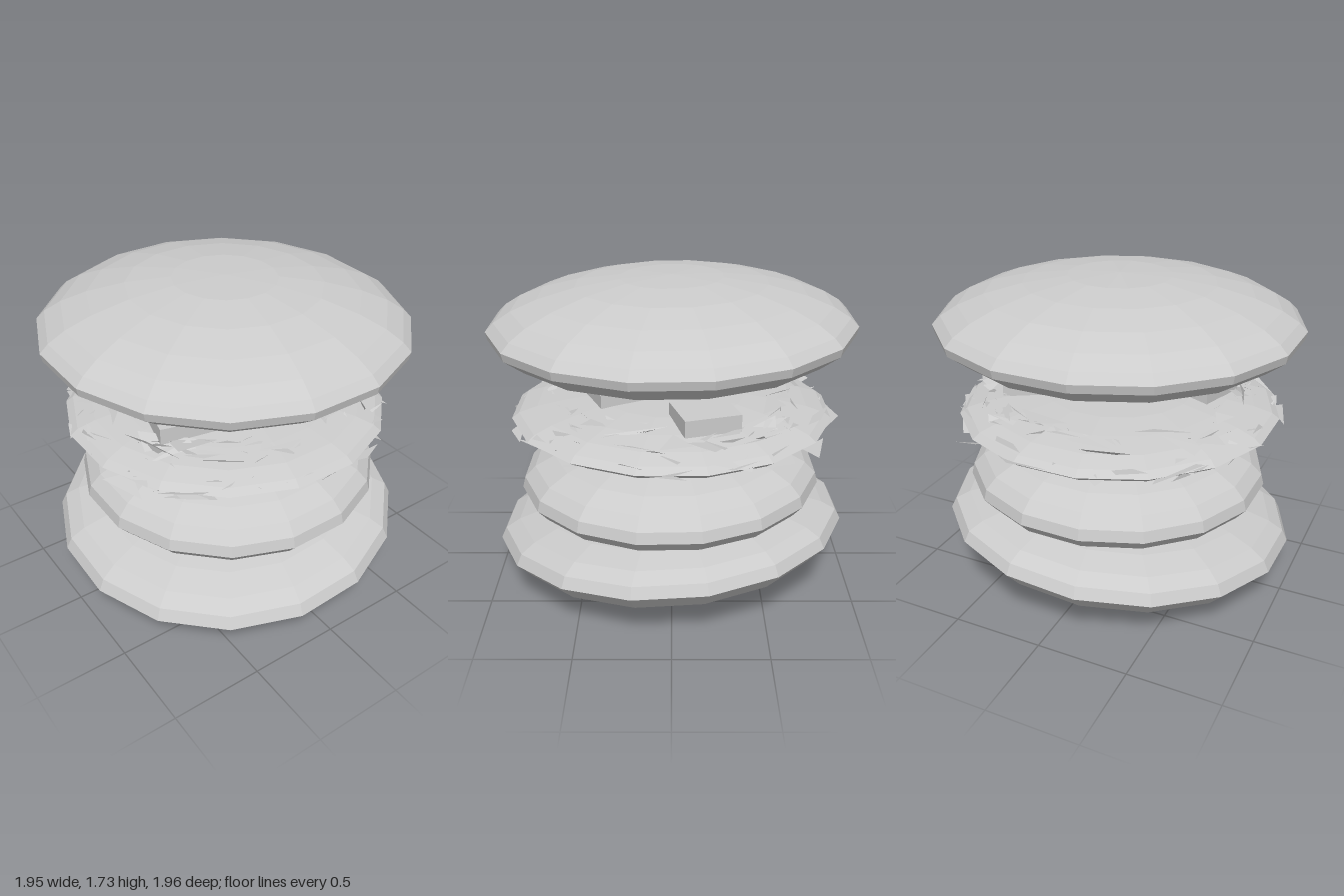
import * as THREE from 'three';

export function createModel() {
  const group = new THREE.Group();
  const grey = new THREE.MeshStandardMaterial({ color: 0xcccccc, flatShading: true });
  const leafGrey = new THREE.MeshStandardMaterial({ color: 0xcccccc, flatShading: true, side: THREE.DoubleSide });

  let seed = 7;
  const rand = () => (seed = (seed * 16807) % 2147483647) / 2147483647;
  const between = (a, b) => a + (b - a) * rand();

  // Faceted round layer; [radius, y] profile runs from bottom to top, rim plane may lean
  function layer(name, profile, slopeX = 0, slopeZ = 0, x = 0, z = 0) {
    const points = profile.map(([r, y]) => new THREE.Vector2(r, y));
    const geo = new THREE.LatheGeometry(points, 16, Math.PI / 16);
    const p = geo.attributes.position;
    for (let i = 0; i < p.count; i++) {
      p.setY(i, p.getY(i) + slopeX * p.getX(i) + slopeZ * p.getZ(i));
    }
    geo.computeVertexNormals();
    const mesh = new THREE.Mesh(geo, grey);
    mesh.name = name;
    mesh.position.set(x, 0, z);
    group.add(mesh);
  }

  // Lower bun leans up towards the back and left
  layer('bottomBun', [
    [0, 0.015], [0.3, 0.025], [0.55, 0.06], [0.76, 0.11], [0.9, 0.175], [0.99, 0.275],
    [0.96, 0.335], [0.88, 0.38], [0.74, 0.42], [0.52, 0.45], [0.26, 0.465], [0, 0.47],
  ], 0.07, -0.065, 0, 0.01);

  layer('patty', [
    [0, 0.41], [0.3, 0.412], [0.52, 0.42], [0.68, 0.445], [0.79, 0.495], [0.845, 0.56],
    [0.83, 0.62], [0.77, 0.68], [0.66, 0.735], [0.5, 0.78], [0.28, 0.805], [0, 0.812],
  ], 0.015, -0.018, 0.015, 0.01);

  layer('fillingDisc', [
    [0, 0.83], [0.3, 0.838], [0.55, 0.86], [0.73, 0.893], [0.84, 0.93], [0.89, 0.965],
    [0.85, 0.995], [0.75, 1.025], [0.6, 1.05], [0.42, 1.07], [0.2, 1.08], [0, 1.083],
  ]);

  layer('topBun', [
    [0, 1.212], [0.3, 1.22], [0.53, 1.245], [0.73, 1.29], [0.88, 1.35], [0.985, 1.43],
    [0.995, 1.475], [0.95, 1.52], [0.86, 1.575], [0.72, 1.63], [0.52, 1.68], [0.28, 1.712], [0, 1.722],
  ], 0, -0.015);

  // Shredded leaves: irregular triangles scattered over the disc and past its rim
  const verts = [];
  for (let i = 0; i < 170; i++) {
    const angle = between(0, Math.PI * 2);
    const radius = 0.5 + 0.36 * Math.sqrt(rand());
    const height = 1.065 - 0.125 * ((radius - 0.5) / 0.36) ** 2;
    const length = between(0.08, 0.22);
    for (let k = 0; k < 3; k++) {
      const turn = angle + (k - 1) * between(0.3, 1) * length / radius;
      const r = Math.min(0.96, radius + between(-0.6, 0.6) * length);
      verts.push(r * Math.sin(turn), height + between(-0.035, 0.035), r * Math.cos(turn));
    }
  }
  const leaves = new THREE.BufferGeometry();
  leaves.setAttribute('position', new THREE.Float32BufferAttribute(verts, 3));
  leaves.computeVertexNormals();
  const lettuce = new THREE.Mesh(leaves, leafGrey);
  lettuce.name = 'shreddedLettuce';
  group.add(lettuce);

  // Thin square slices resting on the leaves: x, z, width, depth, turn
  const slices = [
    [0.07, 0.27, 0.32, 0.36, 0.4],
    [0.46, -0.17, 0.27, 0.3, 0.3],
    [-0.38, 0.18, 0.36, 0.3, -0.25],
  ];
  slices.forEach(([x, z, w, d, turn]) => {
    const slice = new THREE.Mesh(new THREE.BoxGeometry(w, 0.09, d), grey);
    slice.name = 'slice';
    slice.position.set(x, 1.095, z);
    slice.rotation.y = turn;
    group.add(slice);
  });

  return group;
}
